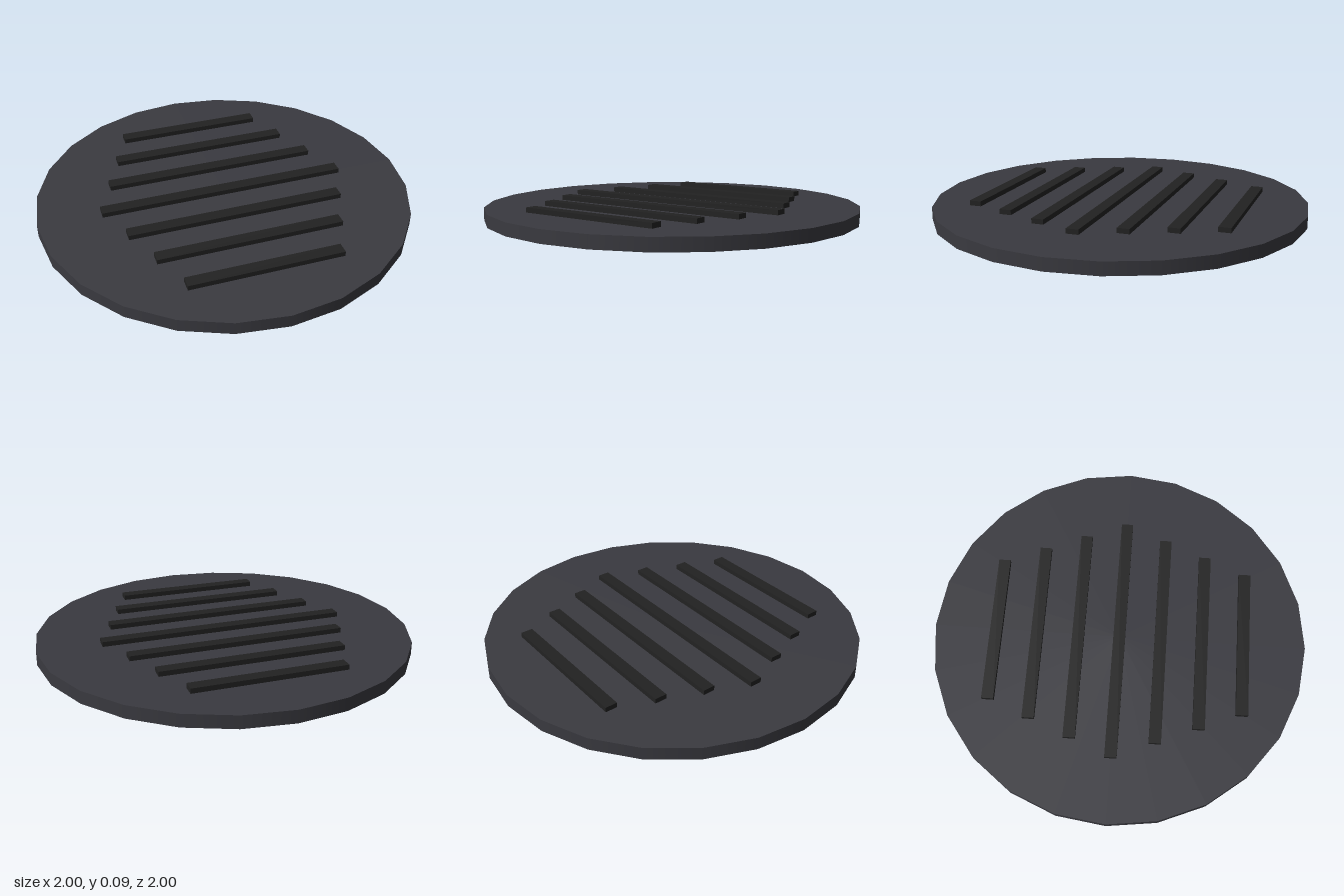
import * as THREE from 'three';

export function createModel() {
  const group = new THREE.Group();
  group.name = 'drainCover';
  const iron = new THREE.MeshStandardMaterial({ name: 'dark iron', color: 0x3a3a40 });
  const black = new THREE.MeshStandardMaterial({ name: 'near black', color: 0x222222 });

  // Round plate
  const height = 0.067;
  const plate = new THREE.Mesh(new THREE.CylinderGeometry(1, 1, height, 24), iron);
  plate.name = 'plate';
  plate.position.y = height / 2;
  group.add(plate);

  // Parallel raised bars, shorter towards the rim
  const top = 0.093, barHeight = 0.044;
  for (let i = -3; i <= 3; i++) {
    const length = 1.333 - 0.178 * Math.abs(i);
    const bar = new THREE.Mesh(new THREE.BoxGeometry(length, barHeight, 0.064), black);
    bar.name = `bar${i + 4}`;
    bar.position.set(0, top - barHeight / 2, i * 0.222);
    group.add(bar);
  }
  return group;
}
